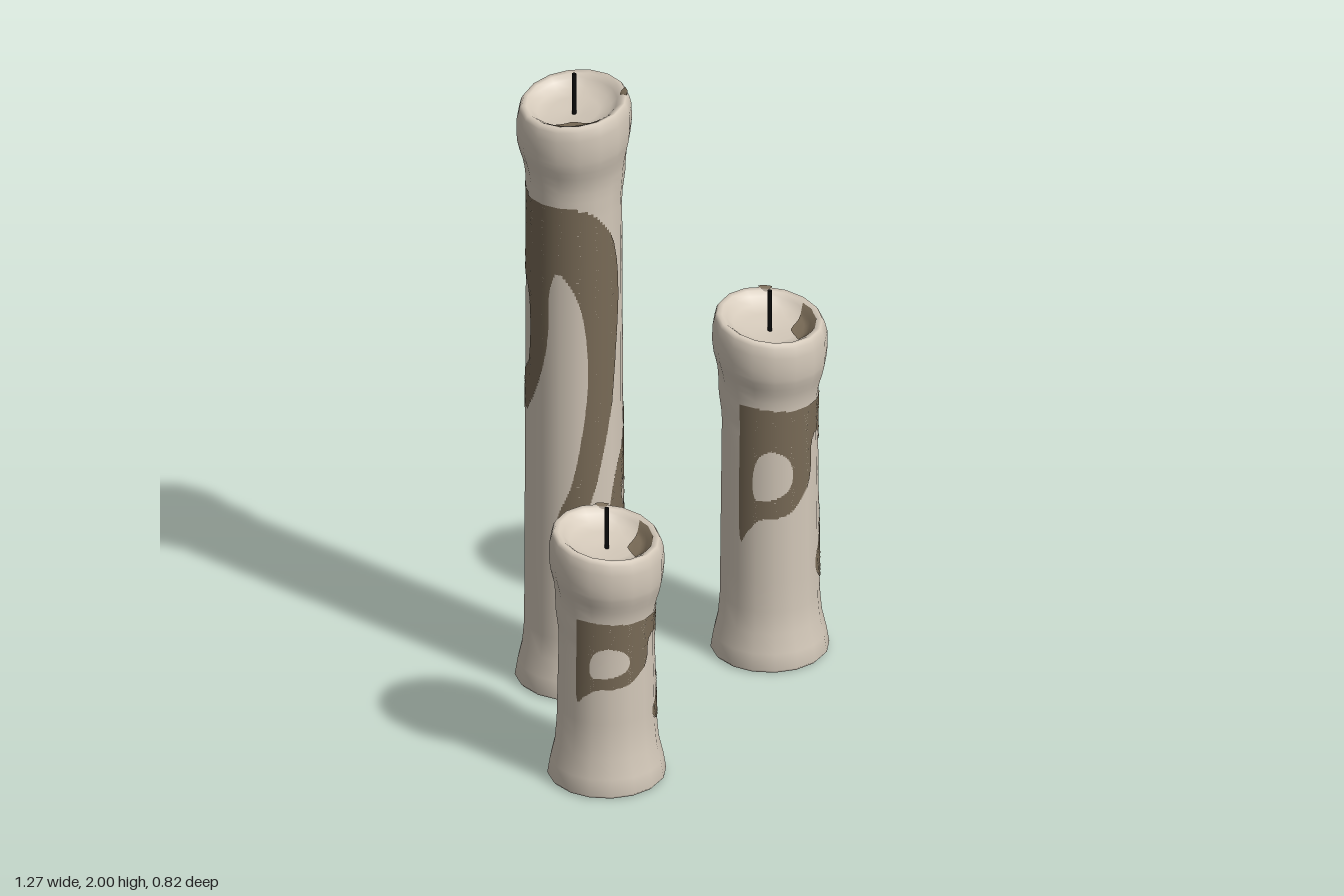
import * as THREE from 'three';
import { mergeGeometries, mergeVertices } from 'three/addons/utils/BufferGeometryUtils.js';

const SIDES = 16;
const RAD = Math.PI / 180;
const { smoothstep, lerp } = THREE.MathUtils;

// Linear lookup in a table of [key, value] pairs with rising keys
function lookup(table, k) {
  if (k <= table[0][0]) return table[0][1];
  for (let i = 1; i < table.length; i++) {
    const [k0, v0] = table[i - 1], [k1, v1] = table[i];
    if (k <= k1) return lerp(v0, v1, (k - k0) / (k1 - k0));
  }
  return table[table.length - 1][1];
}

// Foot flare: [height, radius]
const FOOT = [[0, 0.167], [0.01, 0.176], [0.06, 0.168], [0.12, 0.154], [0.19, 0.148]];
// Swollen head: [depth below the rim, radius]
const HEAD = [[0, 0.155], [0.012, 0.163], [0.04, 0.17], [0.09, 0.171], [0.13, 0.168],
  [0.17, 0.16], [0.21, 0.15], [0.25, 0.144], [0.36, 0.142]];
// Melted bowl: [radius, drop below the rim]
const BOWL = [[0, 0.05], [0.03, 0.043], [0.075, 0.04], [0.11, 0.032], [0.128, 0.014], [0.142, 0.003], [0.155, 0]];

// Radius of the outer wax wall, with an uneven lower edge to the head
function wallRadius(y, phi, h) {
  if (y < 0.19) return lookup(FOOT, y);
  const depth = h - y;
  if (depth > 0.36) return lerp(0.148, 0.142, (y - 0.19) / (h - 0.55));
  const sag = 0.022 * Math.cos(phi - 0.35) * smoothstep(depth, 0.08, 0.2);
  const swell = 0.012 * Math.max(0, -Math.cos(phi)) * Math.sin(Math.PI * smoothstep(depth, 0.14, 0.36));
  return lookup(HEAD, Math.max(0, depth - sag)) + swell;
}

// The rim slopes down towards +z
const slope = (y, z, h) => y - 0.024 * (z / 0.17 + 1) * smoothstep(y, h - 0.25, h - 0.05);

// Ratio of a flat-sided ring to its circle at an angle
function facet(phi) {
  const step = 2 * Math.PI / SIDES;
  const a = ((phi % step) + step) % step;
  return Math.cos(step / 2) / Math.cos(a - step / 2);
}

// Grid whose points follow fn(u, v)
function patch(fn, nu, nv) {
  const g = new THREE.PlaneGeometry(1, 1, nu, nv);
  const p = g.attributes.position;
  for (let i = 0; i < p.count; i++) p.setXYZ(i, ...fn(p.getX(i) + 0.5, p.getY(i) + 0.5));
  g.computeVertexNormals();
  return g;
}

// Wax body: outer wall, rim and bowl in one lathe
function waxGeometry(h) {
  const ys = FOOT.map((f) => f[0]);
  for (let i = 1; i <= 6; i++) ys.push(lerp(0.19, h - 0.36, i / 6));
  for (let d = 0.33; d > 0.14; d -= 0.03) ys.push(h - d);
  ys.push(h - 0.13, h - 0.09, h - 0.04, h - 0.012, h);
  const pts = ys.map((y) => new THREE.Vector2(0.15, y));
  for (const [r, drop] of BOWL.slice(0, -1).reverse()) pts.push(new THREE.Vector2(r, h - drop));
  const g = new THREE.LatheGeometry(pts, SIDES);
  const p = g.attributes.position;
  for (let i = 0; i < p.count; i++) {
    let x = p.getX(i), y = p.getY(i), z = p.getZ(i);
    if (i % pts.length < ys.length) {
      const phi = Math.atan2(x, z), r = wallRadius(y, phi, h);
      x = r * Math.sin(phi);
      z = r * Math.cos(phi);
    }
    p.setXYZ(i, x, slope(y, z, h), z);
  }
  g.deleteAttribute('uv');
  g.deleteAttribute('normal');
  const merged = mergeVertices(g, 1e-5);
  merged.computeVertexNormals();
  return merged;
}

// Winding painted band: [angle in degrees, height fraction]
const smooth = (list, n) => new THREE.SplineCurve([...list, list[0]].map((q) => new THREE.Vector2(...q))).getPoints(n);
const BAND = smooth([
  [-88, 1], [-60, 0.995], [-20, 0.975], [25, 0.975], [59, 0.96], [87, 0.9], [101, 0.83], [105, 0.73], [99, 0.61],
  [87, 0.45], [70, 0.31], [57, 0.22], [59, 0.175], [72, 0.165], [83, 0.2], [91, 0.27], [108, 0.34],
  [129, 0.41], [151, 0.455], [160, 0.42], [159, 0.32], [146, 0.18], [122, 0.08], [97, 0.02], [74, 0],
  [46, 0.02], [22, 0.07], [16, 0.14], [21, 0.21], [37, 0.29], [49, 0.41], [56, 0.53], [54, 0.65],
  [43, 0.75], [21, 0.81], [9, 0.76], [7, 0.65], [-3, 0.55], [-28, 0.45], [-62, 0.425], [-77, 0.36], [-88, 0.35],
], 400);
const LOOP_HOLE = smooth([[-48, 0.78], [-30, 0.74], [-22, 0.66], [-28, 0.57], [-48, 0.53], [-67, 0.53], [-71, 0.63], [-64, 0.74]], 80);
const ROUND_HOLE = new THREE.EllipseCurve(121, 0.23, 10, 0.03).getPoints(40);

// Angles where the band outline and its holes cross a height fraction
function crossings(t) {
  const hits = [];
  for (const ring of [BAND, LOOP_HOLE, ROUND_HOLE])
    for (let i = 1; i < ring.length; i++) {
      const a = ring[i - 1], b = ring[i];
      if ((a.y > t) !== (b.y > t)) hits.push(lerp(a.x, b.x, (t - a.y) / (b.y - a.y)));
    }
  return hits.sort((a, b) => a - b);
}

function bandGeometry(h) {
  const low = 0.18 + 0.125 * (h - 0.82), high = h - 0.25 - 0.03 * (h - 0.82);
  const rows = 120, parts = [];
  for (let i = 0; i < rows; i++) {
    const hits = crossings((i + 0.5) / rows);
    for (let k = 0; k + 1 < hits.length; k += 2) {
      const n = Math.max(1, Math.ceil((hits[k + 1] - hits[k]) / 6));
      parts.push(patch((u, v) => {
        const phi = lerp(hits[k], hits[k + 1], u) * RAD;
        const y = lerp(low, high, (i + v) / rows);
        const r = wallRadius(y, phi, h) * facet(phi) + 0.0025;
        return [r * Math.sin(phi), y, r * Math.cos(phi)];
      }, n, 1));
    }
  }
  const g = mergeGeometries(parts);
  const p = g.attributes.position, v = new THREE.Vector3();
  for (let i = 0; i < p.count; i++) {
    v.set(p.getX(i), 0, p.getZ(i)).normalize();
    g.attributes.normal.setXYZ(i, v.x, 0, v.z);
  }
  return g;
}

// Lens-shaped stain: outer arc at radius r, bulging inwards by depth
function stainGeometry(mid, half, r, depth, heightAt, down) {
  return patch((u, v) => {
    const s = 2 * u - 1, phi = (mid + half * s) * RAD;
    const rr = (r - depth * (1 - s * s) * (down ? 1 - v : v)) * facet(phi);
    const x = rr * Math.sin(phi), z = rr * Math.cos(phi);
    return [x, heightAt(rr, z), z];
  }, 24, 8);
}

export function createModel() {
  const wax = new THREE.MeshStandardMaterial({ color: 0xd3c8b9 });
  wax.name = 'wax';
  const brown = new THREE.MeshStandardMaterial({ color: 0x786a56, side: THREE.DoubleSide });
  brown.name = 'brownPaint';
  const black = new THREE.MeshStandardMaterial({ color: 0x0a0a0a });
  black.name = 'wickBlack';

  function candle(name, x, z, h, turn) {
    const group = new THREE.Group();
    group.name = name;
    const add = (part, geometry, material) => {
      const m = new THREE.Mesh(geometry, material);
      m.name = part;
      group.add(m);
      return m;
    };
    add('waxBody', waxGeometry(h), wax);
    add('base', new THREE.CircleGeometry(0.167, SIDES).rotateX(Math.PI / 2), wax).position.y = 0.002;
    add('paintedBand', bandGeometry(h), brown);
    const onBowl = (r, zz) => slope(h - lookup(BOWL, r), zz, h) + 0.004;
    add('bowlStain', stainGeometry(37, 47, 0.138, 0.075, onBowl, false), brown);
    add('rimStain', stainGeometry(135, 8, 0.158, 0.022, onBowl, false), brown);
    add('baseStain', stainGeometry(36, 32, 0.165, 0.07, () => 0, true), brown);
    add('wick', new THREE.CylinderGeometry(0.007, 0.007, 0.14, 8), black).position.y = h - 0.01;
    group.position.set(x, 0, z);
    group.rotation.y = turn;
    return group;
  }

  const model = new THREE.Group();
  model.name = 'candles';
  model.add(
    candle('shortCandle', -0.46, 0.235, 0.82, 0),
    candle('tallCandle', -0.045, -0.235, 1.94, -Math.PI / 2),
    candle('mediumCandle', 0.46, 0.095, 1.125, 0),
  );
  return model;
}
